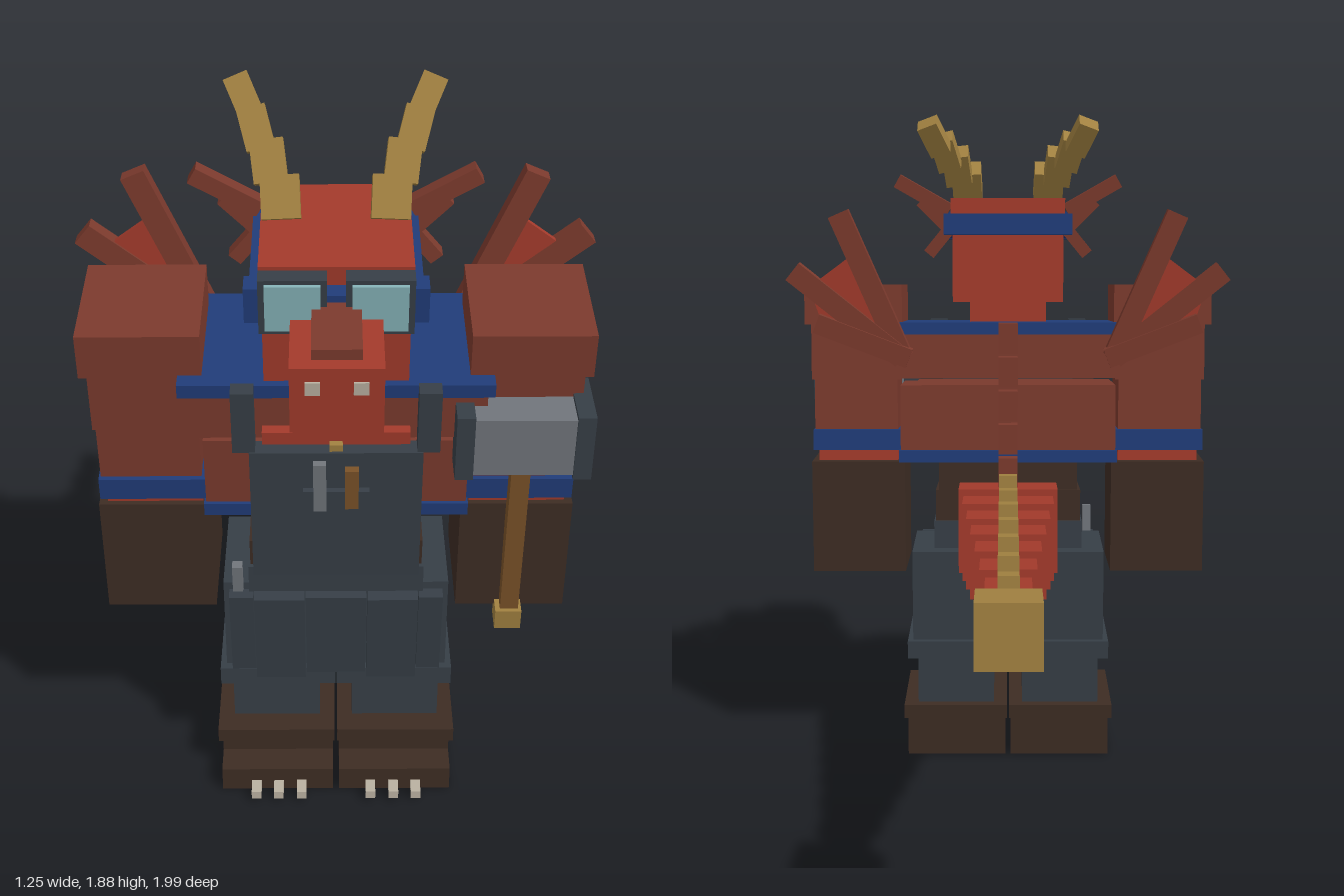
import * as THREE from 'three';

const mat = (name, color) => Object.assign(new THREE.MeshStandardMaterial({ color }), { name });

export function createModel() {
  const red = mat('scale red', 0xa23a2b), rust = mat('rust hide', 0x7b3a2d), blue = mat('blue cloth', 0x203c78),
    brown = mat('dark leather', 0x3d2c23), slate = mat('slate cloth', 0x363e46), gold = mat('horn gold', 0xa08040),
    steel = mat('steel', 0x70747a), teal = mat('lens teal', 0x84b2b6), bone = mat('claw bone', 0xb9b0a0),
    wood = mat('wood', 0x7a5228);
  const model = new THREE.Group();
  const LEAN = 0.09; // forward lean of the upper body

  // box given by size and centre
  function box(name, m, size, pos, rx = 0, rz = 0) {
    const mesh = new THREE.Mesh(new THREE.BoxGeometry(...size), m);
    mesh.name = name;
    mesh.position.set(...pos);
    mesh.rotation.set(rx, 0, rz);
    model.add(mesh);
    return mesh;
  }
  // the same box on both sides
  function pair(name, m, size, [x, y, z], rx = 0, rz = 0) {
    box(name + 'Left', m, size, [x, y, z], rx, rz);
    box(name + 'Right', m, size, [-x, y, z], rx, -rz);
  }
  // flat bar between two points in the xy plane, on both sides
  function bar(name, m, [x0, y0], [x1, y1], z, width, depth, rx = 0) {
    pair(name, m, [width, Math.hypot(x1 - x0, y1 - y0), depth],
      [(x0 + x1) / 2, (y0 + y1) / 2, z], rx, Math.atan2(x0 - x1, y1 - y0));
  }

  // boots and toe claws
  pair('boot', brown, [0.29, 0.12, 0.31], [0.153, 0.06, 0.462]);
  pair('bootCuff', brown, [0.305, 0.04, 0.33], [0.156, 0.135, 0.465]);
  pair('bootToe', brown, [0.29, 0.07, 0.08], [0.153, 0.038, 0.65]);
  for (const x of [0.09, 0.15, 0.208]) pair('toeClaw', bone, [0.025, 0.024, 0.045], [x, 0.022, 0.71]);

  // trousers
  pair('shin', slate, [0.225, 0.16, 0.24], [0.155, 0.23, 0.45]);
  pair('trouserCuff', slate, [0.295, 0.052, 0.31], [0.149, 0.326, 0.455]);
  pair('thigh', slate, [0.28, 0.28, 0.27], [0.141, 0.48, 0.455]);
  pair('apronPanel', slate, [0.125, 0.285, 0.035], [0.14, 0.48, 0.625], 0.12);
  pair('apronEdge', slate, [0.06, 0.27, 0.03], [0.235, 0.48, 0.61], 0.12);
  box('apronCentre', slate, [0.15, 0.275, 0.025], [0, 0.48, 0.617], 0.12);
  box('hipWrench', steel, [0.025, 0.11, 0.025], [-0.243, 0.642, 0.61], LEAN);

  // waist, belly and bib
  box('waist', slate, [0.43, 0.08, 0.33], [0, 0.67, 0.465], LEAN / 2);
  box('belt', brown, [0.42, 0.09, 0.32], [0, 0.75, 0.465], LEAN);
  box('belly', brown, [0.4, 0.12, 0.3], [0, 0.84, 0.465], LEAN);
  box('buckle', gold, [0.1, 0.02, 0.02], [0, 0.712, 0.65], LEAN);
  box('bib', slate, [0.4, 0.385, 0.045], [0, 0.905, 0.667], LEAN);
  box('bibPocket', slate, [0.155, 0.11, 0.02], [0, 0.935, 0.697], LEAN);
  box('pocketSpanner', steel, [0.03, 0.14, 0.018], [-0.038, 1.005, 0.712], LEAN);
  box('pocketHandle', wood, [0.032, 0.115, 0.018], [0.036, 1.0, 0.712], LEAN);
  pair('strap', slate, [0.052, 0.17, 0.04], [0.212, 1.18, 0.69], LEAN);

  // chest and shirt trim
  box('lowerChest', rust, [0.62, 0.2, 0.32], [0, 1.0, 0.475], LEAN);
  box('upperChest', rust, [0.69, 0.14, 0.345], [0, 1.19, 0.492], LEAN);
  box('shirtHem', blue, [0.63, 0.035, 0.335], [0, 0.895, 0.467], LEAN);
  box('collar', blue, [0.72, 0.035, 0.365], [0, 1.262, 0.5], LEAN);
  box('chestPlate', red, [0.34, 0.035, 0.03], [0, 1.122, 0.67], LEAN);
  box('bibButton', gold, [0.03, 0.02, 0.02], [0, 1.105, 0.692], LEAN);

  // arms: layered sleeves, cuff and glove
  pair('shoulderPad', rust, [0.28, 0.115, 0.29], [0.445, 1.33, 0.505], LEAN);
  pair('upperArm', rust, [0.258, 0.17, 0.275], [0.438, 1.2, 0.493], LEAN);
  pair('forearm', rust, [0.24, 0.16, 0.26], [0.44, 1.045, 0.483], LEAN);
  pair('armCuff', blue, [0.265, 0.06, 0.285], [0.432, 0.94, 0.474], LEAN);
  pair('wrist', red, [0.23, 0.03, 0.25], [0.435, 0.895, 0.47], LEAN);
  pair('glove', brown, [0.27, 0.325, 0.275], [0.435, 0.72, 0.463], LEAN / 2);
  for (const x of [0.37, 0.435, 0.5]) pair('fingerClaw', bone, [0.028, 0.012, 0.028], [x, 0.553, 0.54]);

  // hammer in the left hand
  box('hammerHead', steel, [0.24, 0.155, 0.15], [0.43, 1.12, 0.645], LEAN / 2);
  for (const x of [0.293, 0.565]) box('hammerFace', slate, [0.042, 0.175, 0.16], [x, 1.12, 0.645], LEAN / 2);
  box('hammerHandle', wood, [0.045, 0.5, 0.045], [0.432, 0.8, 0.625], LEAN);
  box('hammerPommel', gold, [0.065, 0.06, 0.06], [0.43, 0.535, 0.603], LEAN);

  // head, snout and jaw
  box('head', red, [0.32, 0.25, 0.34], [0, 1.455, 0.585], LEAN);
  box('crown', red, [0.33, 0.055, 0.335], [0, 1.6, 0.598], LEAN);
  box('neck', red, [0.22, 0.1, 0.24], [0, 1.31, 0.53], LEAN);
  box('snout', red, [0.195, 0.165, 0.24], [0, 1.432, 0.867], LEAN);
  box('snoutRidge', rust, [0.105, 0.04, 0.18], [0, 1.52, 0.875], LEAN);
  box('jaw', red, [0.18, 0.055, 0.27], [0, 1.325, 0.8], LEAN);
  pair('nostril', bone, [0.032, 0.032, 0.014], [0.05, 1.455, 0.987], LEAN);

  // goggles
  box('goggleStrap', blue, [0.37, 0.06, 0.41], [0, 1.552, 0.597], LEAN);
  pair('goggleFrame', slate, [0.145, 0.135, 0.04], [0.092, 1.545, 0.798], LEAN);
  pair('goggleLens', teal, [0.118, 0.112, 0.015], [0.092, 1.545, 0.82], LEAN);
  pair('goggleHinge', blue, [0.04, 0.085, 0.05], [0.175, 1.545, 0.785], LEAN);

  // horns, stepping up, out and back
  [[0.12, 1.682, 0.58, 0.085, 0.04], [0.147, 1.73, 0.5, 0.075, 0.12],
    [0.177, 1.772, 0.418, 0.065, 0.25], [0.207, 1.815, 0.335, 0.058, 0.4]]
    .forEach(([x, y, z, s, tilt]) => pair('hornSegment', gold, [s, 0.095, s * 0.9], [x, y, z], -0.5, -tilt));

  // ear fins
  bar('earFinTop', rust, [0.17, 1.605], [0.32, 1.69], 0.47, 0.04, 0.04);
  bar('earFinMiddle', rust, [0.16, 1.545], [0.25, 1.635], 0.47, 0.04, 0.04);
  bar('earFinLow', rust, [0.16, 1.565], [0.23, 1.48], 0.47, 0.035, 0.04);

  // back wings: fan of bars with a thin web
  bar('wingBarTop', rust, [0.3, 1.2], [0.475, 1.605], 0.288, 0.06, 0.04, 0);
  bar('wingBarMiddle', rust, [0.3, 1.2], [0.605, 1.445], 0.278, 0.06, 0.04, 0);
  bar('wingBarLow', rust, [0.28, 1.2], [0.54, 1.3], 0.268, 0.055, 0.04, 0);
  for (const s of [1, -1]) {
    const web = new THREE.Shape([[0.29, 1.18], [0.52, 1.28], [0.56, 1.4], [0.425, 1.5]]
      .map(([x, y]) => new THREE.Vector2(s * x, y)));
    const mesh = new THREE.Mesh(new THREE.ExtrudeGeometry(web, { depth: 0.016, bevelEnabled: false }), red);
    mesh.name = s > 0 ? 'wingWebLeft' : 'wingWebRight';
    mesh.position.z = 0.276;
    model.add(mesh);
  }

  // spine plates down the back
  for (let i = 0; i < 5; i++)
    box('spinePlate', rust, [0.055, 0.085, 0.055], [0, 1.255 - i * 0.095, 0.285 - i * 0.009], 0.06);

  // tapering tail with spikes and tip
  const heights = [0.24, 0.215, 0.19, 0.17, 0.148, 0.125, 0.1, 0.075];
  heights.forEach((h, i) => {
    const z = 0.24 - i * 0.146, y = 0.715 + i * 0.004;
    box('tailSegment', red, [0.28 - i * 0.028, h, 0.152], [0, y, z], 0.07);
    if (i > 0) box('tailSpike', gold, [0.05, 0.08, 0.06], [0, y + h / 2 + 0.03, z + 0.005], 0.1);
  });
  box('tailTip', gold, [0.15, 0.15, 0.16], [0, 0.762, -0.913], 0.08);

  return model;
}
